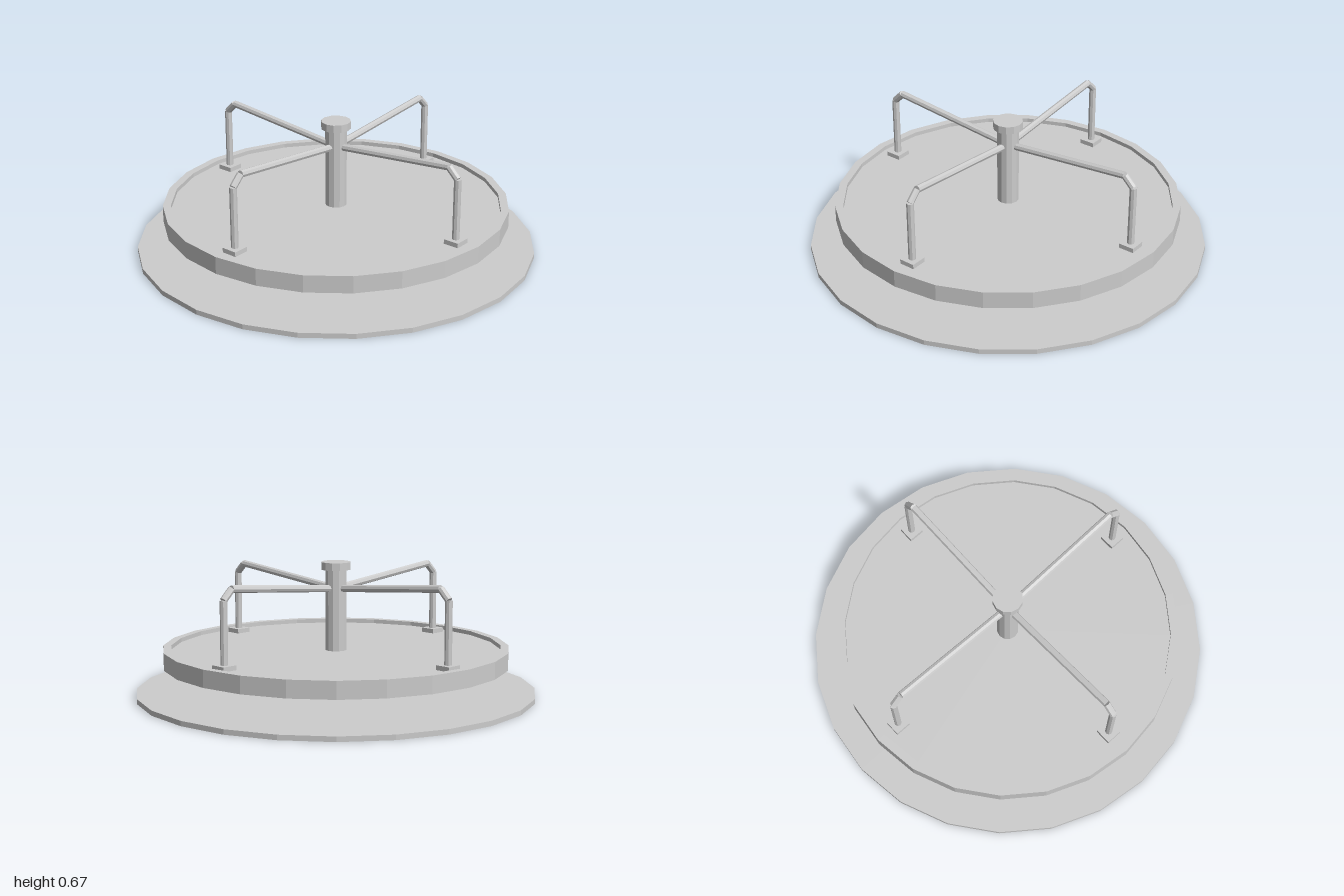
import * as THREE from 'three';

export function createModel() {
  const model = new THREE.Group();
  model.name = 'merryGoRound';
  const steel = new THREE.MeshStandardMaterial({ color: 0xcccccc, flatShading: true });
  steel.name = 'light grey';

  const add = (parent, name, geometry) => {
    const mesh = new THREE.Mesh(geometry, steel);
    mesh.name = name;
    parent.add(mesh);
    return mesh;
  };

  // Upright round part between two heights
  const round = (name, rTop, rBottom, y0, y1, sides) => {
    const mesh = add(model, name, new THREE.CylinderGeometry(rTop, rBottom, y1 - y0, sides));
    mesh.position.y = (y0 + y1) / 2;
  };

  round('groundDisc', 1, 1, 0, 0.025, 24);
  round('pedestal', 0.113, 0.16, 0.025, 0.165, 12);
  round('deck', 0.83, 0.83, 0.162, 0.222, 24);
  round('centrePost', 0.054, 0.054, 0.222, 0.63, 12);
  round('postCap', 0.074, 0.074, 0.627, 0.665, 12);

  // Raised rim around the deck
  const rim = [[0.825, 0.157], [0.865, 0.157], [0.865, 0.243], [0.825, 0.243], [0.825, 0.157]];
  add(model, 'deckRim', new THREE.LatheGeometry(rim.map(([r, y]) => new THREE.Vector2(r, y)), 24));

  // Straight pipe from a to b
  const up = new THREE.Vector3(0, 1, 0);
  const pipe = (parent, name, a, b) => {
    const dir = b.clone().sub(a);
    const mesh = add(parent, name, new THREE.CylinderGeometry(0.018, 0.018, dir.length(), 8));
    mesh.position.copy(a).add(b).multiplyScalar(0.5);
    mesh.quaternion.setFromUnitVectors(up, dir.normalize());
  };

  // Four bent handrails, each with a square foot
  const path = [[0.735, 0.23], [0.735, 0.548], [0.685, 0.597], [0.03, 0.534]]
    .map(([x, y]) => new THREE.Vector3(x, y, 0));
  const names = ['upright', 'bend', 'rail'];
  for (let i = 0; i < 4; i++) {
    const handrail = new THREE.Group();
    handrail.name = 'handrail' + (i + 1);
    const foot = add(handrail, 'footPlate', new THREE.BoxGeometry(0.08, 0.023, 0.08));
    foot.position.set(0.735, 0.2335, 0);
    names.forEach((name, k) => pipe(handrail, name, path[k], path[k + 1]));
    handrail.rotation.y = i * Math.PI / 2;
    model.add(handrail);
  }
  return model;
}
